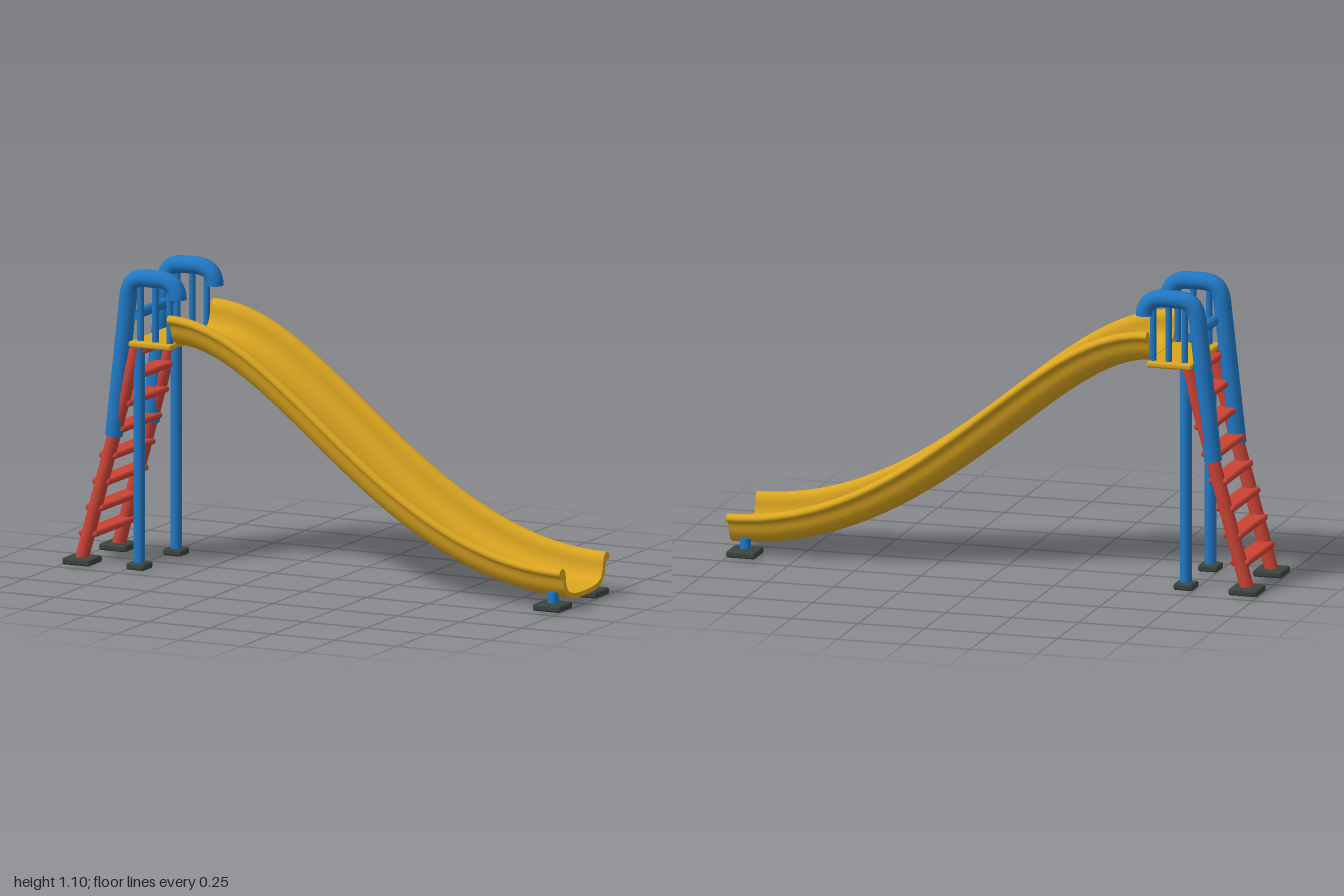
import * as THREE from 'three';
import { RoundedBoxGeometry } from 'three/addons/geometries/RoundedBoxGeometry.js';

const V = (x, y, z = 0) => new THREE.Vector3(x, y, z);
const material = (name, color) => {
  const m = new THREE.MeshStandardMaterial({ color });
  m.name = name;
  return m;
};

// Closed trough section swept along a path in the xy plane, with flat end caps
function sweepTrough(path, section, steps) {
  const n = section.length, pos = [], idx = [];
  const addRing = (t) => {
    const p = path.getPoint(t), d = path.getTangent(t);
    for (const s of section) pos.push(p.x - d.y * s.y, p.y + d.x * s.y, s.x);
  };
  for (let i = 0; i <= steps; i++) addRing(i / steps);
  for (let i = 0; i < steps; i++) {
    for (let j = 0; j < n; j++) {
      const a = i * n + j, b = i * n + (j + 1) % n;
      idx.push(a, a + n, b, b, a + n, b + n);
    }
  }
  const faces = THREE.ShapeUtils.triangulateShape(section, []);
  [0, 1].forEach((t) => {
    const base = pos.length / 3;
    addRing(t);
    for (const [a, b, c] of faces) {
      if (t === 0) idx.push(base + a, base + b, base + c);
      else idx.push(base + a, base + c, base + b);
    }
  });
  const g = new THREE.BufferGeometry();
  g.setAttribute('position', new THREE.Float32BufferAttribute(pos, 3));
  g.setIndex(idx);
  g.computeVertexNormals();
  return g;
}

export function createModel() {
  const root = new THREE.Group();
  root.name = 'playgroundSlide';
  const yellow = material('yellow', 0xdaa520);
  const blue = material('blue', 0x2078c4);
  const red = material('red', 0xcb4335);
  const dark = material('darkGrey', 0x3b443f);

  const add = (name, geometry, mat, x = 0, y = 0, z = 0) => {
    const m = new THREE.Mesh(geometry, mat);
    m.name = name;
    m.position.set(x, y, z);
    root.add(m);
    return m;
  };
  // Round bar between two points
  const bar = (name, a, b, r, mat) => {
    const d = b.clone().sub(a);
    const m = add(name, new THREE.CylinderGeometry(r, r, d.length(), 24), mat);
    m.position.copy(a).add(b).multiplyScalar(0.5);
    m.quaternion.setFromUnitVectors(V(0, 1), d.normalize());
    return m;
  };

  // Slide chute: half of the section is mirrored and smoothed
  const half = [
    [0.09, 0.005], [0.135, 0.02], [0.16, 0.05], [0.17, 0.085], [0.182, 0.098],
    [0.195, 0.1], [0.2, 0.112], [0.192, 0.123], [0.178, 0.127], [0.162, 0.121],
    [0.151, 0.103], [0.146, 0.07], [0.13, 0.04], [0.085, 0.023],
  ].map(([z, y]) => V(z, y - 0.0635));
  const mirrored = half.map((p) => V(-p.x, p.y)).reverse();
  const loop = new THREE.CatmullRomCurve3(
    [V(0, -0.0635), ...half, V(0, -0.0455), ...mirrored], true);
  const section = loop.getPoints(90).slice(0, -1).map((p) => new THREE.Vector2(p.x, p.y));
  const path = new THREE.CubicBezierCurve3(
    V(-0.58, 0.882), V(-0.15, 0.882), V(0.25, 0.095), V(1, 0.095));
  add('chute', sweepTrough(path, section, 56), yellow);

  // Platform
  add('platform', new RoundedBoxGeometry(0.17, 0.022, 0.36, 3, 0.008), yellow, -0.66, 0.825, 0);

  const Z = 0.147;
  const railBottom = V(-0.945, 0.02), railTop = V(-0.722, 0.82);

  // Handrail centre line, bent over at the top
  const handrailPath = (z) => {
    const c = new THREE.CurvePath();
    c.add(new THREE.LineCurve3(V(-0.817, 0.48, z), V(-0.762, 0.97, z)));
    c.add(new THREE.CubicBezierCurve3(
      V(-0.762, 0.97, z), V(-0.756, 1.04, z), V(-0.745, 1.066, z), V(-0.68, 1.066, z)));
    c.add(new THREE.LineCurve3(V(-0.68, 1.066, z), V(-0.63, 1.066, z)));
    c.add(new THREE.CubicBezierCurve3(
      V(-0.63, 1.066, z), V(-0.585, 1.066, z), V(-0.56, 1.04, z), V(-0.56, 1.0, z)));
    return c;
  };

  for (const side of [-1, 1]) {
    const z = side * Z;
    const label = side > 0 ? 'left' : 'right';

    // Handrail with closed ends
    const curve = handrailPath(z);
    add(label + 'Handrail', new THREE.TubeGeometry(curve, 80, 0.032, 24), blue);
    for (const t of [0, 1]) {
      const p = curve.getPoint(t), d = curve.getTangent(t).multiplyScalar(t ? 1 : -1);
      const cap = add(label + 'HandrailEnd', new THREE.CircleGeometry(0.032, 24), blue, p.x, p.y, p.z);
      cap.quaternion.setFromUnitVectors(V(0, 0, 1), d);
    }

    // Guard bars between platform and handrail
    for (const x of [-0.71, -0.65, -0.592]) {
      bar(label + 'GuardBar', V(x, 0.83, z), V(x, 1.06, z), 0.012, blue);
    }

    // Support post and its foot
    bar(label + 'Post', V(-0.715, 0.015, z), V(-0.715, 0.82, z), 0.021, blue);
    add(label + 'PostFoot', new RoundedBoxGeometry(0.074, 0.025, 0.074, 3, 0.008), dark, -0.715, 0.0125, z);

    // Ladder rail and its foot
    bar(label + 'LadderRail', V(railBottom.x, railBottom.y, z), V(railTop.x, railTop.y, z), 0.025, red);
    add(label + 'LadderFoot', new RoundedBoxGeometry(0.11, 0.025, 0.108, 3, 0.008), dark, -0.945, 0.0125, z);

    // Short leg and foot under the chute's end
    bar(label + 'ExitLeg', V(0.945, 0.015, side * 0.14), V(0.945, 0.065, side * 0.14), 0.02, blue);
    add(label + 'ExitFoot', new RoundedBoxGeometry(0.11, 0.025, 0.108, 3, 0.008), dark, 0.945, 0.0125, z);
  }

  // Cross bar between the handrails
  bar('crossBar', V(-0.735, 0.928, -Z), V(-0.735, 0.928, Z), 0.019, blue);

  // Ladder treads
  for (let i = 0; i < 8; i++) {
    const y = 0.112 + i * 0.098;
    const p = railBottom.clone().lerp(railTop, (y - railBottom.y) / (railTop.y - railBottom.y));
    add('tread', new RoundedBoxGeometry(0.074, 0.024, 0.32, 3, 0.011), red, p.x, p.y, 0);
  }

  return root;
}
